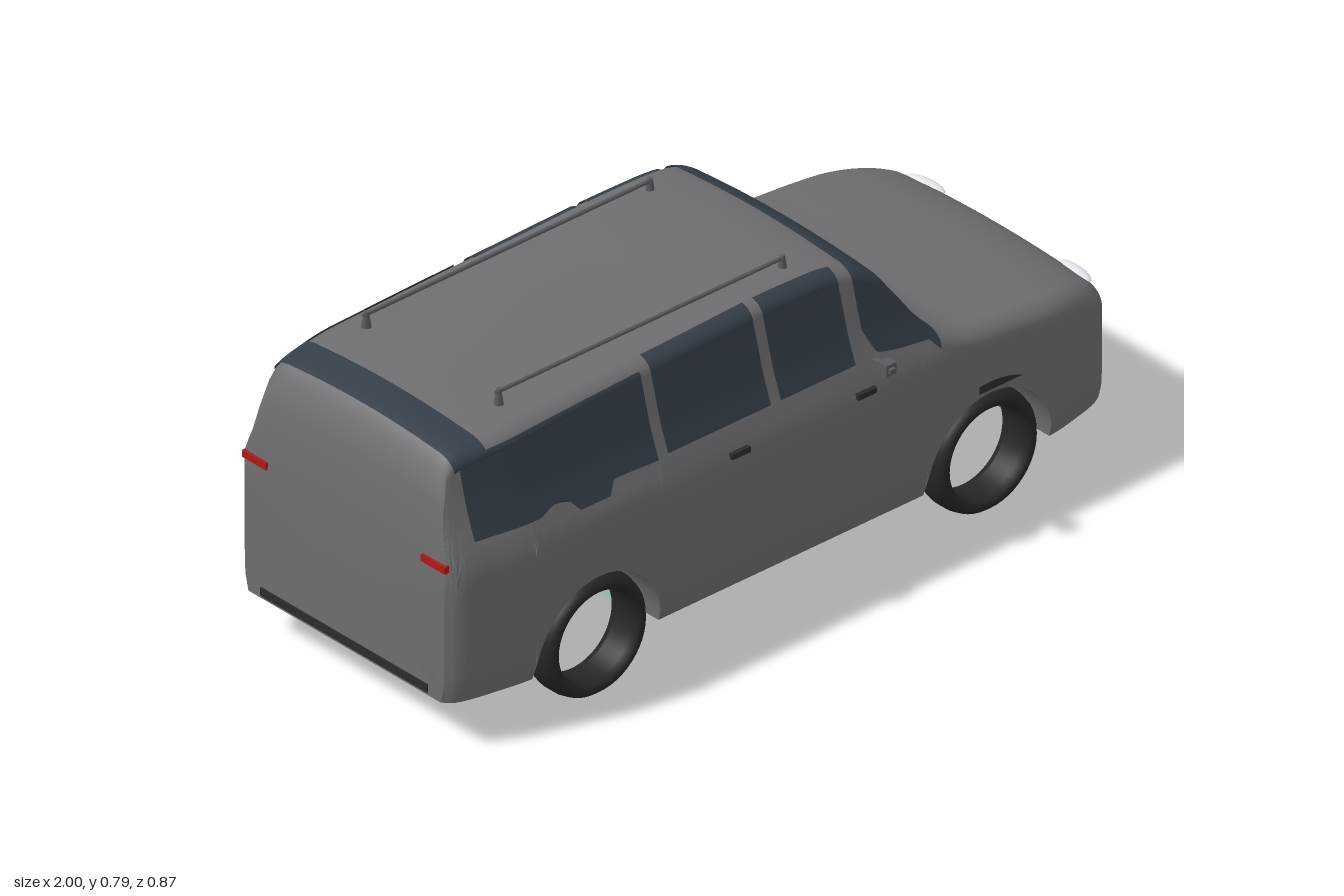
import * as THREE from 'three';
import { toCreasedNormals } from 'three/addons/utils/BufferGeometryUtils.js';

const paint = new THREE.MeshStandardMaterial({ color: 0x6e6e70 });
const glass = new THREE.MeshStandardMaterial({ color: 0x353f48, side: THREE.DoubleSide });
const rubber = new THREE.MeshStandardMaterial({ color: 0x262626 });
const dark = new THREE.MeshStandardMaterial({ color: 0x2c2c2e, side: THREE.DoubleSide });
const metal = new THREE.MeshStandardMaterial({ color: 0x5a5a5c });
const white = new THREE.MeshStandardMaterial({ color: 0xe8e8ee });
const red = new THREE.MeshStandardMaterial({ color: 0xb01818 });
const green = new THREE.MeshStandardMaterial({ color: 0x9fcfba });

// Smooth monotone curve through [t, value] points
function curve(pts) {
  const n = pts.length;
  const slope = pts.slice(1).map((p, i) => (p[1] - pts[i][1]) / (p[0] - pts[i][0]));
  const tan = pts.map((p, i) => {
    if (i === 0) return slope[0];
    if (i === n - 1) return slope[n - 2];
    const a = slope[i - 1], b = slope[i];
    return a * b <= 0 ? 0 : (2 * a * b) / (a + b);
  });
  return (t) => {
    if (t <= pts[0][0]) return pts[0][1];
    if (t >= pts[n - 1][0]) return pts[n - 1][1];
    let i = 0;
    while (t > pts[i + 1][0]) i++;
    const h = pts[i + 1][0] - pts[i][0], u = (t - pts[i][0]) / h, u2 = u * u, u3 = u2 * u;
    return pts[i][1] * (2 * u3 - 3 * u2 + 1) + tan[i] * h * (u3 - 2 * u2 + u)
      + pts[i + 1][1] * (3 * u2 - 2 * u3) + tan[i + 1] * h * (u3 - u2);
  };
}

// Body outlines: top line, plan half width, half width by height
const topLine = curve([[-0.995, 0.46], [-0.985, 0.57], [-0.965, 0.68], [-0.94, 0.73], [-0.88, 0.742], [-0.6, 0.756],
  [-0.2, 0.768], [0, 0.773], [0.15, 0.77], [0.25, 0.755], [0.32, 0.715], [0.37, 0.65], [0.42, 0.575], [0.46, 0.535],
  [0.55, 0.507], [0.7, 0.493], [0.85, 0.472], [0.94, 0.445], [0.98, 0.42], [0.995, 0.395]]);
const plan = curve([[-0.995, 0.335], [-0.97, 0.36], [-0.88, 0.383], [-0.76, 0.4], [0.77, 0.4], [0.9, 0.377], [0.97, 0.352], [0.995, 0.325]]);
const girth = curve([[0.12, 0.385], [0.17, 0.398], [0.25, 0.4], [0.46, 0.4], [0.53, 0.372], [0.6, 0.345], [0.7, 0.317], [0.75, 0.302]]);
const wheelX = [-0.585, 0.593], archR = 0.19;

function bottom(x) {
  let y = 0.12;
  for (const c of wheelX) {
    const d = (x - c) / archR;
    if (Math.abs(d) < 1) y = 0.12 + 0.2 * Math.sqrt(1 - d * d);
  }
  return y;
}
const cornerDrop = (x) => THREE.MathUtils.lerp(0.034, 0.045, THREE.MathUtils.smoothstep(x, 0.3, 0.6));
const shoulder = (x) => topLine(x) - cornerDrop(x) - 0.012;

// Section point: s 0..1 side, 1..2 rounded edge, 2..3 crown, 3..6 mirrored
function skin(x, s) {
  if (s > 3) {
    const p = skin(x, 6 - s);
    p.z = -p.z;
    return p;
  }
  const ys = shoulder(x), k = plan(x) / 0.4, w = k * girth(ys), yb = bottom(x), zc = w - 0.055;
  if (s <= 1) {
    const y = yb + (ys - yb) * s;
    return new THREE.Vector3(x, y, k * girth(y));
  }
  if (s <= 2) {
    const a = (s - 1) * Math.PI / 2;
    return new THREE.Vector3(x, ys + cornerDrop(x) * Math.sin(a), zc + 0.055 * Math.cos(a));
  }
  const t = 3 - s;
  return new THREE.Vector3(x, topLine(x) - 0.012 * t * t, zc * t);
}

function meshFrom(rows, closed, crease) {
  const n = rows[0].length, pos = rows.flat().flatMap((p) => [p.x, p.y, p.z]), idx = [];
  for (let i = 0; i < rows.length - 1; i++) {
    for (let j = 0; j < (closed ? n : n - 1); j++) {
      const a = i * n + j, d = i * n + (j + 1) % n;
      idx.push(a, a + n, d + n, a, d + n, d);
    }
  }
  if (closed) {
    // End caps
    [0, rows.length - 1].forEach((r) => {
      const c = pos.length / 3;
      pos.push(rows[r][0].x, 0.28, 0);
      for (let j = 0; j < n; j++) {
        const a = r * n + j, b = r * n + (j + 1) % n;
        if (r === 0) idx.push(c, a, b); else idx.push(c, b, a);
      }
    });
  }
  const g = new THREE.BufferGeometry();
  g.setAttribute('position', new THREE.Float32BufferAttribute(pos, 3));
  g.setIndex(idx);
  if (crease) return toCreasedNormals(g, crease);
  g.computeVertexNormals();
  return g;
}

function bodyGeometry() {
  const xs = [];
  for (let i = 0; i <= 100; i++) {
    const x = -0.995 + 1.99 * i / 100;
    if (wheelX.every((c) => Math.abs(x - c) > archR + 0.004)) xs.push(x);
  }
  xs.push(-0.99, -0.983, 0.985, 0.99);
  for (const c of wheelX) for (let i = 0; i <= 24; i++) xs.push(c - archR * Math.cos(Math.PI * i / 24));
  xs.sort((a, b) => a - b);
  const ss = [];
  for (let j = 0; j <= 16; j++) ss.push(j / 16);
  for (let j = 1; j <= 6; j++) ss.push(1 + j / 6);
  for (let j = 1; j <= 6; j++) ss.push(2 + j / 6);
  const all = [...ss, ...ss.slice(0, -1).reverse().map((s) => 6 - s)];
  return meshFrom(xs.map((x) => all.map((s) => skin(x, s))), true, 0.7);
}

// Panel lying just proud of the body between x0..x1, from height low(x) to section value end
function panel(x0, x1, low, end, lift = 0.004) {
  const rows = [], e = 0.001;
  for (let i = 0; i <= 24; i++) {
    const x = x0 + (x1 - x0) * i / 24, yb = bottom(x);
    const s0 = Math.min(1, (low(x) - yb) / (shoulder(x) - yb));
    const s1 = end === 'wrap' ? 6 - s0 : end;
    const row = [], count = end === 'wrap' ? 60 : 24;
    for (let j = 0; j <= count; j++) {
      const s = s0 + (s1 - s0) * j / count;
      const du = skin(x + e, s).sub(skin(x - e, s)), dv = skin(x, s + e).sub(skin(x, s - e));
      row.push(skin(x, s).addScaledVector(du.cross(dv).normalize(), lift));
    }
    rows.push(row);
  }
  return meshFrom(rows, false);
}

export function createModel() {
  const car = new THREE.Group();
  const add = (name, geo, mat, x = 0, y = 0, z = 0) => {
    const m = new THREE.Mesh(geo, mat);
    m.name = name;
    m.position.set(x, y, z);
    car.add(m);
    return m;
  };
  const box = (w, h, d) => new THREE.BoxGeometry(w, h, d);
  add('body', bodyGeometry(), paint);

  // Glass
  add('windshield', panel(0.25, 0.45, curve([[0.25, 0.6], [0.28, 0.54], [0.45, 0.515]]), 'wrap'), glass);
  add('rearRoofGlass', panel(-0.935, -0.845, () => 0.7, 'wrap'), glass);
  const rearSill = curve([[-0.92, 0.525], [-0.74, 0.525], [-0.7, 0.54], [-0.65, 0.53], [-0.63, 0.505], [-0.54, 0.505], [-0.52, 0.535], [-0.385, 0.53]]);
  const windows = [['rearSideWindow', -0.92, -0.385, rearSill, 1.3], ['rearDoorWindow', -0.355, -0.045, () => 0.535, 1.75],
    ['frontDoorWindow', -0.015, 0.21, () => 0.535, 1.75]];
  for (const [name, x0, x1, low, end] of windows) {
    const g = panel(x0, x1, low, end);
    add(name, g, glass);
    add(name, g, glass).scale.z = -1;
  }

  // Open tyres
  const tyre = new THREE.LatheGeometry([[0.115, -0.03], [0.12, -0.045], [0.13, -0.05], [0.14, -0.048], [0.15, -0.036], [0.155, -0.015],
    [0.155, 0.015], [0.15, 0.036], [0.14, 0.048], [0.13, 0.05], [0.12, 0.045], [0.115, 0.03], [0.115, -0.03]]
    .map(([r, y]) => new THREE.Vector2(r, y)), 48).rotateX(Math.PI / 2);

  for (const side of [1, -1]) {
    for (const x of wheelX) add('tyre', tyre, rubber, x, 0.155, side * 0.351);

    // Roof rail with feet
    add('roofRail', new THREE.CylinderGeometry(0.005, 0.005, 0.87, 8).rotateZ(Math.PI / 2), metal, -0.305, 0.785, side * 0.222);
    for (const x of [-0.73, 0.125]) {
      add('railFoot', new THREE.CylinderGeometry(0.006, 0.012, 0.04, 10), metal, x, 0.772, side * 0.222);
    }

    // Mirror and door handles
    add('mirror', box(0.03, 0.03, 0.03), metal, 0.27, 0.524, side * 0.412);
    add('mirrorArm', box(0.016, 0.012, 0.07), metal, 0.268, 0.524, side * 0.4);
    for (const x of [-0.163, 0.218]) add('doorHandle', box(0.055, 0.014, 0.012), dark, x, 0.472, side * 0.4);

    // Lamps
    const lamp = add('headlight', new THREE.SphereGeometry(1, 16, 10), white, 0.978, 0.412, side * 0.25);
    lamp.scale.set(0.022, 0.011, 0.06);
    lamp.rotation.y = -side * 0.1;
    add('tailLight', box(0.03, 0.018, 0.08), red, -0.984, 0.475, side * 0.3);

    // Fender trim above the front arch
    const trim = panel(0.555, 0.69, () => 0.33, (0.35 - 0.32) / 0.12);
    add('fenderTrim', trim, dark).scale.z = side;
  }

  // Grille with slats
  add('grille', box(0.01, 0.052, 0.34), dark, 0.994, 0.354, 0);
  for (const y of [0.337, 0.354, 0.371]) add('grilleSlat', box(0.003, 0.003, 0.325), metal, 0.999, y, 0);
  add('rearBumperStrip', box(0.008, 0.022, 0.56), dark, -0.994, 0.138, 0);

  // Parts seen inside the wheel wells
  add('engineBlock', new THREE.CylinderGeometry(0.075, 0.055, 0.1, 8), green, 0.595, 0.225, 0);
  add('engineBayLining', box(0.2, 0.012, 0.4), green, 0.595, 0.284, 0);
  add('rearWellPanel', box(0.03, 0.07, 0.6), green, -0.415, 0.17, 0);
  return car;
}
